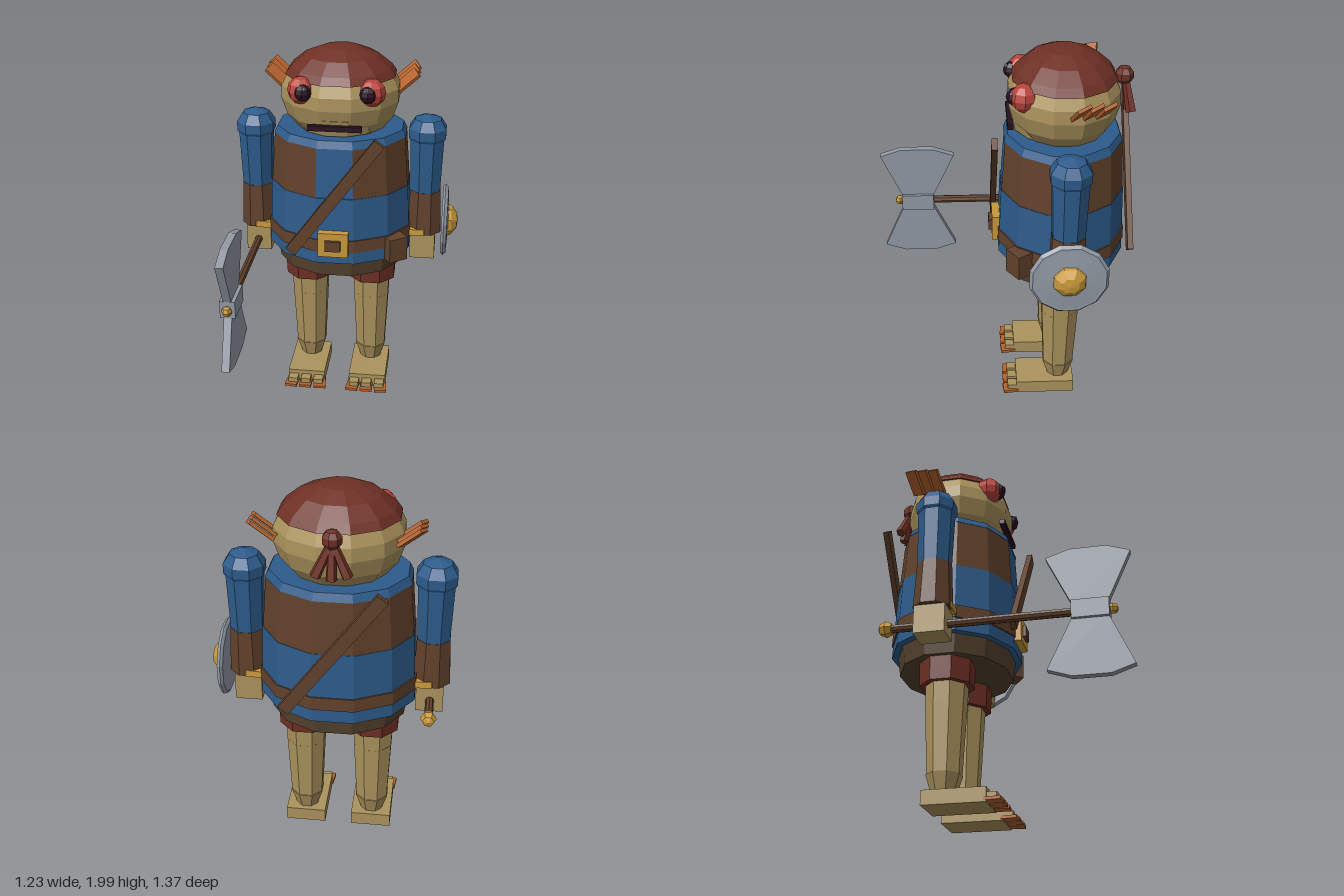
import * as THREE from 'three';

const mat = (name, color) => { const m = new THREE.MeshStandardMaterial({ color }); m.name = name; return m; };
const CX = -0.04, CZ = -0.31; // body axis
const RAD = Math.PI / 180;

export function createModel() {
  const blue = mat('blue cloth', 0x2d5c8c), tan = mat('tan skin', 0xab935d), maroon = mat('maroon', 0x6e3025);
  const brown = mat('brown leather', 0x61412b), hide = mat('dark hide', 0x55432f), orange = mat('orange fin', 0xb5632c);
  const gold = mat('gold', 0xc8993a), steel = mat('steel', 0x929aa5), red = mat('red eye', 0xb8433a), dark = mat('dark', 0x28101f);

  const model = new THREE.Group();
  model.name = 'warrior';

  // Adds a faceted mesh
  const add = (name, geo, material, x = 0, y = 0, z = 0, rx = 0, ry = 0, rz = 0, parent = model) => {
    const g = geo.index ? geo.toNonIndexed() : geo;
    g.computeVertexNormals();
    const m = new THREE.Mesh(g, material);
    m.name = name;
    m.position.set(x, y, z);
    m.rotation.set(rx, ry, rz);
    parent.add(m);
    return m;
  };
  const box = (w, h, d) => new THREE.BoxGeometry(w, h, d);
  const ball = (r, w = 8, h = 6) => new THREE.SphereGeometry(r, w, h);
  // Tapered prism between two heights, with a flat face to the front
  const prism = (r1, y1, r0, y0, n = 8, depth = 1) =>
    new THREE.CylinderGeometry(r1, r0, y1 - y0, n).rotateY(Math.PI / n).translate(0, (y0 + y1) / 2, 0).scale(1, 1, depth);
  const lathe = (pts, n, depth = 1) =>
    new THREE.LatheGeometry(pts.map(p => new THREE.Vector2(...p)), n).rotateY(Math.PI / n).scale(1, 1, depth);

  // Torso: lower tunic, vest with a gap in front, yoke
  const D = 0.85;
  add('tunic', prism(0.392, 1.25, 0.408, 0.87, 12, D), blue, CX, 0, CZ);
  add('chest', prism(0.362, 1.53, 0.385, 1.25, 12, D), blue, CX, 0, CZ);
  const vest = new THREE.CylinderGeometry(0.367, 0.39, 0.29, 11, 1, true, 15 * RAD, 330 * RAD).scale(1, 1, D);
  add('vest', vest, brown, CX, 1.385, CZ);
  add('collar', prism(0.35, 1.565, 0.37, 1.525, 12, D), blue, CX, 0, CZ);
  add('belt', prism(0.41, 1.01, 0.413, 0.94, 12, D), brown, CX, 0, CZ);
  add('skirt', prism(0.37, 0.885, 0.352, 0.77, 12, D), hide, CX, 0, CZ);
  add('buckle', box(0.165, 0.14, 0.045), gold, -0.043, 0.995, 0.037);
  add('buckleCentre', box(0.085, 0.06, 0.03), brown, -0.043, 0.995, 0.062);
  add('pouch', box(0.11, 0.135, 0.1), brown, 0.28, 0.94, -0.08, 0, 0.6, 0);
  const strapTilt = Math.atan2(0.475, 0.645);
  add('frontStrap', box(0.064, 0.8, 0.03), brown, -0.038, 1.267, 0.048, 0, 0, -strapTilt);
  add('backStrap', box(0.064, 0.8, 0.03), brown, -0.04, 1.267, -0.668, 0, 0, strapTilt);

  // Head with muzzle, mouth and cap
  const HD = 0.9;
  add('head', lathe([[0, 1.56], [0.24, 1.565], [0.295, 1.63], [0.325, 1.72], [0.322, 1.79], [0.285, 1.865], [0, 1.9]], 12, HD), tan, CX, 0, CZ);
  add('muzzle', prism(0.25, 1.665, 0.225, 1.575, 12), tan, CX, 0, CZ + 0.03);
  add('mouth', box(0.285, 0.028, 0.03), dark, -0.043, 1.63, -0.035);
  add('cap', lathe([[0, 1.85], [0.303, 1.85], [0.275, 1.89], [0.2, 1.95], [0.1, 1.99], [0, 2]], 12, HD), maroon, CX, 0, CZ);

  for (const s of [-1, 1]) {
    // Eyes, turned slightly inward
    const ex = CX + s * 0.185;
    add('eye', ball(0.073), red, ex, 1.81, -0.1);
    add('pupil', ball(0.046), dark, ex - s * 0.015, 1.81, -0.055);
    add('eyeGlint', ball(0.011, 6, 4), steel, ex - s * 0.028 , 1.838, -0.024);

    // Ear fins: three overlapping slats
    for (let i = 0; i < 3; i++) {
      const ear = new THREE.Group();
      ear.name = 'earFin';
      ear.position.set(CX + s * 0.35, 1.8 + i * 0.005, -0.36 - i * 0.06);
      ear.rotation.set(0, s * 0.2, s * 0.7);
      add('earSlat', box(0.14, 0.018, 0.075), orange, 0, 0, 0, 0.35, 0, 0, ear);
      model.add(ear);
    }

    // Legs, shorts and feet
    const lx = CX + s * 0.18;
    add('shorts', prism(0.147, 0.78, 0.142, 0.645), maroon, lx, 0, CZ);
    add('thigh', prism(0.113, 0.66, 0.106, 0.52), tan, lx, 0, CZ);
    add('shin', prism(0.107, 0.53, 0.09, 0.18), tan, lx, 0, CZ);
    add('ankle', prism(0.094, 0.18, 0.062, 0.08), tan, lx, 0, CZ);
    add('foot', box(0.215, 0.075, 0.325), tan, lx, 0.045, -0.233);
    for (const t of [-1, 0, 1]) {
      add('toe', box(0.055, 0.035, 0.06), tan, lx + t * 0.074, 0.04, -0.05);
      add('claw', box(0.07, 0.016, 0.085), orange, lx + t * 0.082, 0.022, -0.037, 0, t * 0.1, 0);
    }

    // Arms
    const ax = CX + s * 0.473;
    add('shoulder', lathe([[0.095, 1.49], [0.108, 1.51], [0.108, 1.56], [0.075, 1.61], [0, 1.635]], 8), blue, ax, 0, CZ);
    add('sleeve', prism(0.098, 1.5, 0.088, 1.2), blue, ax, 0, CZ);
    add('bracer', prism(0.09, 1.2, 0.102, 0.95), brown, ax, 0, CZ);
    add('cuff', prism(0.106, 0.985, 0.108, 0.95), gold, ax, 0, CZ, 0, 0, s * 0.04);
    add('hand', box(0.14, 0.15, 0.16), tan, ax - s * 0.005, 0.875, CZ);
  }

  // Hair tuft behind the head
  add('tuftKnot', ball(0.05, 7, 5), maroon, CX, 1.845, -0.615);
  for (const t of [-1, 0, 1])
    add('tuftLock', new THREE.CylinderGeometry(0.018, 0.028, 0.19, 5).translate(0, -0.09, 0), maroon, CX, 1.84, -0.62, 0.17, 0, t * 0.42);

  // Axe, held forward in the right hand
  const axe = new THREE.Group();
  axe.name = 'axe';
  axe.position.set(-0.51, 0.865, 0);
  model.add(axe);
  add('handle', new THREE.CylinderGeometry(0.022, 0.022, 1.1, 8), brown, 0, 0, 0.03, Math.PI / 2, 0, 0, axe);
  add('pommel', ball(0.042, 6, 4), gold, 0, 0, -0.55, Math.PI / 2, 0, 0, axe);
  add('axeSocket', box(0.08, 0.095, 0.185), steel, 0, 0, 0.482, 0, 0, 0, axe);
  add('axeTip', ball(0.028, 6, 4), gold, 0, 0, 0.59, 0, 0, 0, axe);
  for (const s of [-1, 1]) {
    const outline = [[0.57, 0.04], [0.687, 0.3], [0.57, 0.34], [0.385, 0.34], [0.265, 0.3], [0.39, 0.04]];
    const shape = new THREE.Shape(outline.map(([z, y]) => new THREE.Vector2(-z, s * y)));
    const blade = new THREE.ExtrudeGeometry(shape, { depth: 0.042, bevelEnabled: false }).translate(0, 0, -0.021).rotateY(Math.PI / 2);
    add('axeBlade', blade, steel, 0, 0, 0, 0, 0, 0, axe);
  }

  // Round shield outside the left arm
  const shield = new THREE.Group();
  shield.name = 'shield';
  shield.position.set(0.55, 1.01, -0.31);
  shield.rotation.z = -Math.PI / 2;
  model.add(shield);
  add('shieldDisc', lathe([[0, -0.018], [0.19, -0.018], [0.205, -0.005], [0.19, 0.012], [0.175, 0.012], [0, 0.025]], 12), steel, 0, 0, 0, 0, 0, 0, shield);
  add('shieldBoss', lathe([[0.09, 0.008], [0.082, 0.035], [0.045, 0.065], [0, 0.072]], 8), gold, 0, 0, 0, 0, 0, 0, shield);

  return model;
}
